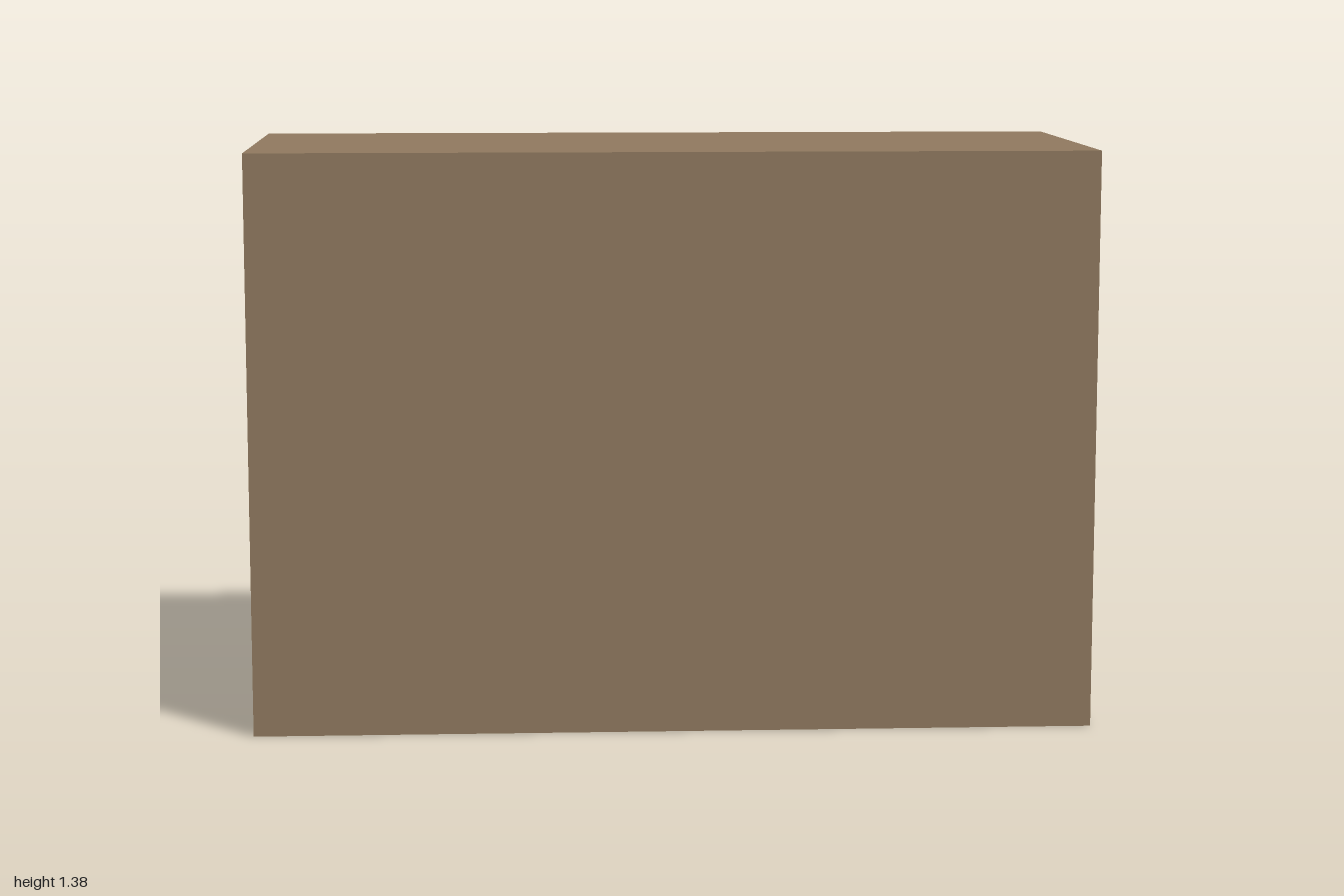
import * as THREE from 'three';

const BODY = { width: 2, height: 1.38, back: -0.385, front: 0.447 };
const DOOR = { width: 0.978, height: 1.267, depth: 0.025, y: 0.69 };

function addMesh(parent, name, geometry, color, x, y, z) {
  const mesh = new THREE.Mesh(geometry, new THREE.MeshStandardMaterial({ color }));
  mesh.name = name;
  mesh.position.set(x, y, z);
  parent.add(mesh);
  return mesh;
}

export function createModel() {
  const model = new THREE.Group();
  model.name = 'cabinet';

  // Plain carcass
  addMesh(model, 'carcass',
    new THREE.BoxGeometry(BODY.width, BODY.height, BODY.front - BODY.back),
    0x917a60, 0, BODY.height / 2, (BODY.front + BODY.back) / 2);

  // Two doors on the -z side, each with a knob towards its +x edge
  const doors = [
    { name: 'rightDoor', x: -0.502, color: 0x917a60 },
    { name: 'leftDoor', x: 0.498, color: 0xa0896d },
  ];
  for (const { name, x, color } of doors) {
    const door = new THREE.Group();
    door.name = name;
    door.position.set(x, DOOR.y, BODY.back);
    addMesh(door, 'doorPanel',
      new THREE.BoxGeometry(DOOR.width, DOOR.height, DOOR.depth),
      color, 0, 0, -DOOR.depth / 2);
    addMesh(door, 'knob', new THREE.SphereGeometry(0.028, 16, 12),
      0x2b2927, 0.32, 0, -0.033);
    model.add(door);
  }

  return model;
}
